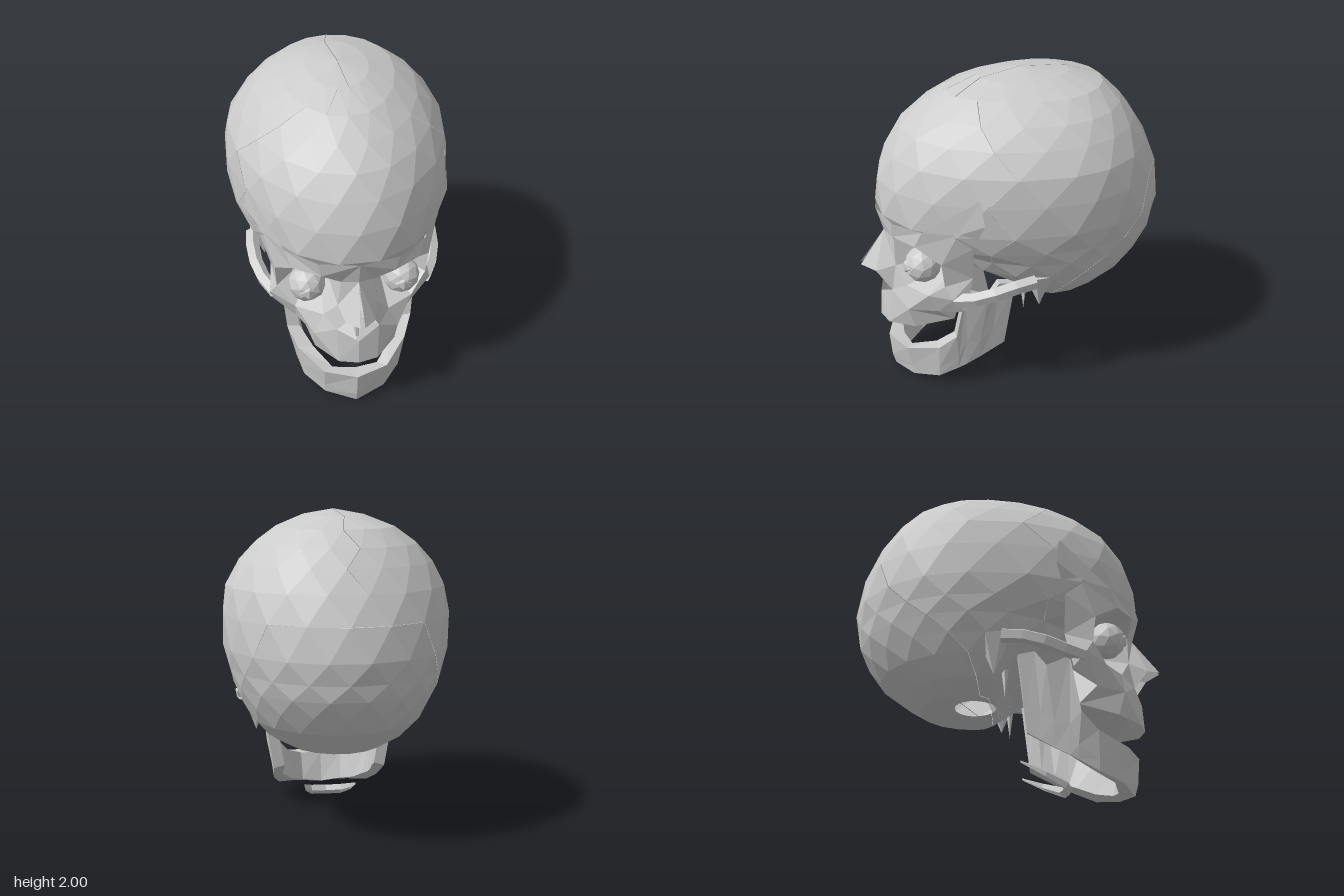
import * as THREE from 'three';

const bone = new THREE.MeshStandardMaterial({ color: 0xcccccc, flatShading: true, side: THREE.DoubleSide });

function add(parent, name, geometry) {
  const mesh = new THREE.Mesh(geometry, bone);
  mesh.name = name;
  parent.add(mesh);
  return mesh;
}

// Geometry from a list of triangles, each three [x, y, z] corners
function fromTriangles(tris) {
  const g = new THREE.BufferGeometry();
  g.setAttribute('position', new THREE.Float32BufferAttribute(tris.flat(2), 3));
  g.computeVertexNormals();
  return g;
}

// Polygons over named points, fanned into triangles and optionally mirrored
function panels(points, faces, side = 1) {
  const p = (k) => [points[k][0] * side, points[k][1], points[k][2]];
  const tris = [];
  for (const face of faces) {
    const k = face.split(' ');
    for (let i = 1; i < k.length - 1; i++) {
      const t = [p(k[0]), p(k[i]), p(k[i + 1])];
      tris.push(side > 0 ? t : t.reverse());
    }
  }
  return fromTriangles(tris);
}

// Skin between successive closed cross-sections
function loft(rings, caps = true) {
  const tris = [];
  for (let j = 0; j < rings.length - 1; j++) {
    const a = rings[j], b = rings[j + 1], n = a.length;
    for (let i = 0; i < n; i++) {
      const k = (i + 1) % n;
      tris.push([a[i], a[k], b[k]], [a[i], b[k], b[i]]);
    }
  }
  if (caps) {
    const a = rings[0], b = rings[rings.length - 1];
    for (let i = 1; i < a.length - 1; i++) tris.push([a[0], a[i + 1], a[i]], [b[0], b[i], b[i + 1]]);
  }
  return fromTriangles(tris);
}

// Braincase: stacked egg-shaped rings, split into bones along the sutures
function buildCranium(group) {
  // y, half width, back z, front z
  const levels = [
    [0.58, 0.13, -0.32, -0.06], [0.55, 0.30, -0.54, -0.03], [0.62, 0.43, -0.64, 0.05],
    [0.73, 0.53, -0.79, 0.22], [0.84, 0.59, -0.87, 0.42], [0.95, 0.635, -0.93, 0.50],
    [1.05, 0.665, -0.95, 0.76], [1.18, 0.695, -0.97, 0.85], [1.38, 0.70, -0.935, 0.835],
    [1.55, 0.675, -0.865, 0.77], [1.69, 0.595, -0.785, 0.68], [1.80, 0.50, -0.70, 0.55],
    [1.90, 0.36, -0.59, 0.40], [1.965, 0.19, -0.38, 0.19], [2.0, 0.001, -0.081, -0.079],
  ];
  const n = 18;
  const rings = levels.map(([y, w, back, front], j) => {
    const zc = y > 1.95 ? (back + front) / 2 : -0.2;
    return Array.from({ length: n }, (_, i) => {
      const a = ((i + (j % 2) / 2) / n) * Math.PI * 2;
      const c = Math.cos(a);
      return [w * Math.sin(a), y, zc + c * (c > 0 ? front - zc : zc - back)];
    });
  });
  const bones = { frontalBone: [], occipitalBone: [], leftParietalBone: [], rightParietalBone: [] };
  for (let j = 0; j < rings.length - 1; j++) {
    const a = rings[j], b = rings[j + 1], odd = j % 2;
    for (let i = 0; i < n; i++) {
      const k = (i + 1) % n;
      const pair = odd ? [[a[i], a[k], b[k]], [a[i], b[k], b[i]]] : [[a[i], a[k], b[i]], [a[k], b[k], b[i]]];
      for (const t of pair) {
        const [x, y, z] = [0, 1, 2].map((d) => (t[0][d] + t[1][d] + t[2][d]) / 3);
        let name = x > 0 ? 'leftParietalBone' : 'rightParietalBone';
        if (y < 0.62 - (z + 0.15) * 1.01 && z < 0) name = 'occipitalBone';
        else if (z > 0.26 && y > 1) name = 'frontalBone';
        bones[name].push(t);
      }
    }
  }
  // Slight shrink about each bone's centre opens hairline sutures
  for (const [name, tris] of Object.entries(bones)) {
    const g = fromTriangles(tris);
    g.computeBoundingBox();
    const c = g.boundingBox.getCenter(new THREE.Vector3());
    g.translate(-c.x, -c.y, -c.z).scale(0.995, 0.995, 0.995).translate(c.x, c.y, c.z);
    add(group, name, g);
  }
}

// One side of the face, outlined for the model's left
const F = {
  // orbit rim
  r0: [0.10, 1.00, 0.77], r1: [0.22, 1.08, 0.80], r2: [0.38, 1.08, 0.70], r3: [0.47, 0.98, 0.56],
  r4: [0.46, 0.82, 0.54], r5: [0.36, 0.71, 0.62], r6: [0.20, 0.71, 0.72], r7: [0.12, 0.82, 0.77],
  // brow and temple
  b0: [0, 1.18, 0.855], b1: [0.24, 1.18, 0.805], b2: [0.42, 1.19, 0.66], b3: [0.53, 1.2, 0.47],
  t0: [0.54, 1.10, 0.38], t1: [0.48, 0.86, 0.37], t2: [0.60, 1.44, 0.35], t3: [0.62, 1.28, 0.33],
  // nose
  n0: [0, 1.02, 0.81], n1: [0.015, 0.80, 0.97], n2: [0.09, 0.78, 0.89],
  a1: [0.13, 0.65, 0.80], a2: [0, 0.58, 0.85],
  // upper jaw
  m2: [0, 0.41, 0.86], m3: [0.12, 0.41, 0.83], m4: [0.25, 0.43, 0.69], m5: [0.31, 0.48, 0.45],
  m6: [0.26, 0.57, 0.73], m7: [0.35, 0.58, 0.56], p0: [0, 0.50, 0.74], p1: [0, 0.52, 0.42],
  w0: [0.14, 0.62, 0.32], w1: [0.16, 0.84, 0.32],
  // cheek
  c0: [0.50, 0.74, 0.50], c1: [0.50, 0.64, 0.42],
};

function buildFaceSide(group, side) {
  const half = new THREE.Group();
  half.name = side > 0 ? 'leftFace' : 'rightFace';
  group.add(half);
  const part = (name, ...faces) => add(half, name, panels(F, faces, side));

  part('browRidge', 'n0 r0 b0', 'r0 r1 b0', 'r1 b1 b0', 'r1 r2 b2 b1', 'r2 r3 b3 b2');
  part('temple', 'r3 t0 b3', 'r3 r4 t1 t0', 'b3 t0 t3', 'b3 t3 t2', 'b2 b3 t2');
  part('nasalBone', 'n0 n1 n2', 'n0 n2 r7', 'n0 r7 r0');
  part('upperJaw', 'r7 n2 a1', 'r7 a1 r6', 'r6 a1 m6', 'r6 m6 r5', 'a2 m2 m3', 'a2 m3 a1',
    'a1 m3 m6', 'm3 m4 m6', 'm6 m4 m5', 'm6 m5 m7', 'm5 w0 w1 m7', 'm5 p1 w0');
  part('palate', 'm2 p0 m3', 'm3 p0 m4', 'm4 p0 p1 m5');
  part('cheekbone', 'r5 m6 m7', 'r5 m7 c0', 'r4 r5 c0', 'r4 c0 t1', 'c0 m7 c1', 'c0 c1 t1', 'm7 w1 t1 c1');

  // Eye socket funnel from rim to apex
  const rim = Array.from({ length: 8 }, (_, i) => F['r' + i]);
  const inward = (t) => rim.map(([x, y, z]) =>
    [x + (0.17 - x) * t, y + (0.88 - y) * t, z + (0.28 - z) * t].map((v, d) => (d ? v : v * side)));
  add(half, 'eyeSocket', loft([inward(0), inward(0.3), inward(0.95)], false));

  // Faceted eyeball with a smaller inner core showing at its front
  const eye = add(half, 'eyeball', new THREE.IcosahedronGeometry(0.115, 1));
  eye.position.set(0.285 * side, 0.9, 0.63);
  eye.rotation.set(0.3, 0.4 * side, 0.2);
  const iris = add(half, 'iris', new THREE.IcosahedronGeometry(0.06, 0));
  iris.position.set(0.285 * side, 0.9, 0.70);

  // Cheek arch running back to the ear
  const arch = new THREE.CatmullRomCurve3([[0.47, 0.72, 0.48], [0.545, 0.75, 0.33], [0.575, 0.80, 0.18], [0.565, 0.82, 0]]
    .map(([x, y, z]) => new THREE.Vector3(x * side, y, z)));
  add(half, 'cheekArch', new THREE.TubeGeometry(arch, 4, 0.045, 5));

  // Bony lump and spike behind the jaw hinge
  const mastoid = add(half, 'mastoid', new THREE.ConeGeometry(0.10, 0.24, 6));
  mastoid.rotation.x = Math.PI;
  mastoid.position.set(0.49 * side, 0.72, -0.05);
  const spike = add(half, 'styloidSpike', new THREE.ConeGeometry(0.03, 0.24, 4));
  spike.rotation.x = Math.PI;
  spike.position.set(0.36 * side, 0.63, 0.01);

  // Plates inside and behind the nose
  const plate = add(half, 'pterygoidPlate', new THREE.BoxGeometry(0.03, 0.34, 0.16));
  plate.position.set(0.16 * side, 0.68, 0.29);
  plate.rotation.set(0.2, 0.3 * side, 0);
  for (const y of [0.66, 0.78]) {
    const shelf = add(half, 'nasalShelf', new THREE.BoxGeometry(0.07, 0.025, 0.3));
    shelf.position.set(0.075 * side, y, 0.6);
    shelf.rotation.z = -0.5 * side;
  }
}

// Lower jaw: four-cornered sections swept from one hinge round the chin to the other
function buildJaw(group) {
  // top x, top z, top y, bottom x, bottom z, bottom y, thickness
  const half = [
    [0.44, 0.09, 0.75, 0.37, 0.14, 0.28, 0.07], [0.44, 0.19, 0.77, 0.365, 0.22, 0.235, 0.07],
    [0.44, 0.26, 0.68, 0.36, 0.30, 0.19, 0.06], [0.43, 0.40, 0.74, 0.355, 0.39, 0.145, 0.06],
    [0.40, 0.46, 0.40, 0.345, 0.44, 0.12, 0.08], [0.345, 0.56, 0.30, 0.31, 0.56, 0.06, 0.10],
    [0.20, 0.74, 0.24, 0.19, 0.70, 0.025, 0.10],
  ];
  const chin = [0, 0.815, 0.235, 0, 0.78, 0.0, 0.10];
  const flip = half.map(([a, b, c, d, ...r]) => [-a, b, c, -d, ...r]).reverse();
  const sections = [...half, chin, ...flip].map(([xt, zt, yt, xb, zb, yb, w]) => {
    // thickness points sideways along the ramus and backwards at the chin
    const s = Math.min(1, Math.abs(xt) / 0.35), dx = -Math.sign(xt) * s * w, dz = -(1 - s * 0.95) * w;
    const ym = yb + (yt - yb) * 0.3;
    return [[xt, yt, zt], [xb + (xt - xb) * 0.3, ym, zb + 0.02 * (1 - s)], [xb, yb, zb],
      [xb + dx, yb + 0.02, zb + dz], [xt + dx, yt - 0.01, zt + dz]];
  });
  add(group, 'lowerJaw', loft(sections));
}

// Small horseshoe bone floating beneath the jaw
function buildHyoid(group) {
  const right = [[-0.17, 0.17, 0.10, 0.008], [-0.15, 0.11, 0.24, 0.025], [-0.10, 0.06, 0.36, 0.035]];
  const left = right.map(([x, ...r]) => [-x, ...r]).reverse();
  add(group, 'hyoid', loft([...right, [0, 0.05, 0.385, 0.035], ...left].map(([x, y, z, r]) =>
    [[x, y + r, z - r * 0.5], [x, y, z + r * 0.5], [x, y - r, z], [x, y, z - r]])));
}

export function createModel() {
  const skull = new THREE.Group();
  skull.name = 'skull';
  buildCranium(skull);
  for (const side of [1, -1]) buildFaceSide(skull, side);

  // Middle wall of the nose and the core of the skull base
  add(skull, 'nasalSeptum', new THREE.BoxGeometry(0.02, 0.32, 0.46)).position.set(0, 0.72, 0.55);
  const core = add(skull, 'skullBaseCore', new THREE.CylinderGeometry(0.2, 0.13, 0.5, 6));
  core.rotation.x = Math.PI / 2 - 0.25;
  core.position.set(0, 0.78, 0.14);

  buildJaw(skull);
  buildHyoid(skull);
  return skull;
}
